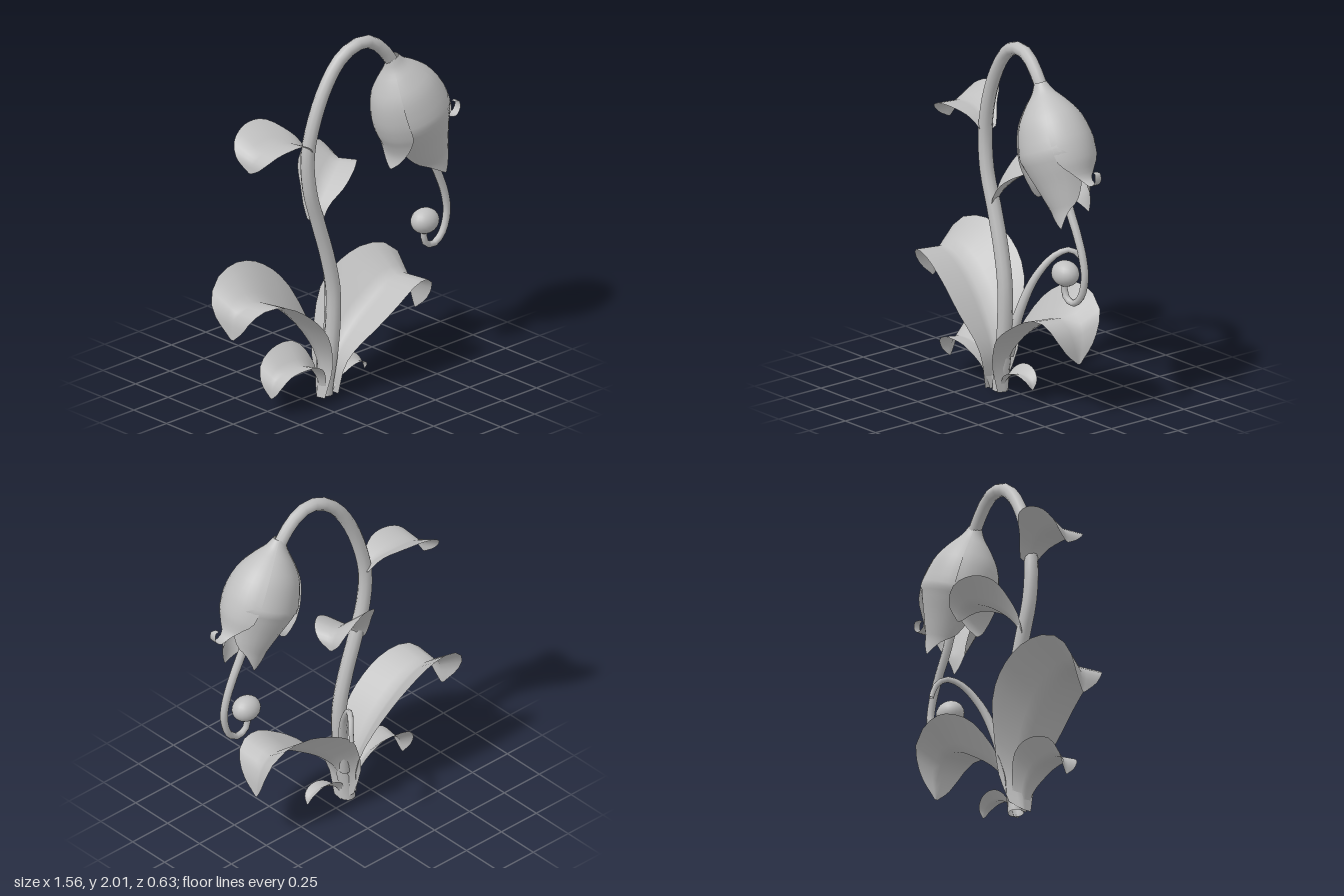
import * as THREE from 'three';

const V = (p) => new THREE.Vector3(...p);
const curveOf = (pts) => new THREE.CatmullRomCurve3(pts.map(V));

// Grid surface from a rule f(u, v) -> Vector3, u and v in 0..1
function surface(nu, nv, f) {
  const pos = [], idx = [];
  for (let j = 0; j <= nv; j++)
    for (let i = 0; i <= nu; i++) pos.push(...f(i / nu, j / nv).toArray());
  for (let j = 0; j < nv; j++)
    for (let i = 0; i < nu; i++) {
      const a = j * (nu + 1) + i, b = a + nu + 1;
      idx.push(a, a + 1, b, a + 1, b + 1, b);
    }
  const g = new THREE.BufferGeometry();
  g.setAttribute('position', new THREE.Float32BufferAttribute(pos, 3));
  g.setIndex(idx);
  g.computeVertexNormals();
  return g;
}

// Round stalk whose radius runs from r0 to r1
function stalk(pts, r0, r1, segs = 28, sides = 10) {
  const curve = curveOf(pts);
  const g = new THREE.TubeGeometry(curve, segs, 1, sides);
  const p = g.attributes.position, v = new THREE.Vector3();
  for (let i = 0; i < p.count; i++) {
    const t = Math.floor(i / (sides + 1)) / segs;
    const c = curve.getPointAt(t);
    v.fromBufferAttribute(p, i).sub(c).multiplyScalar(r0 + (r1 - r0) * t).add(c);
    p.setXYZ(i, v.x, v.y, v.z);
  }
  return g;
}

// Folded leaf: midrib points, half-width, lift of the front and back halves,
// yaw of the blade, narrowing of the back half towards the tip
function leaf(pts, width, front, back, { yaw = 0, narrow = 0 } = {}) {
  const curve = curveOf(pts);
  const side = new THREE.Vector3(Math.sin(yaw), 0, Math.cos(yaw));
  const sign = Math.sign(pts[pts.length - 1][0] - pts[0][0]);
  const profile = curveOf([[0, 0.27, 0], [0.2, 0.55, 0], [0.42, 0.95, 0], [0.6, 1, 0],
    [0.78, 0.87, 0], [0.92, 0.5, 0], [1, 0.05, 0]]);
  return surface(8, 20, (u, v) => {
    const s = profile.getPoint(v), t = Math.min(1, Math.max(0, s.x));
    const k = u * 2 - 1;
    const w = width * s.y * (k < 0 ? 1 - narrow * t * t : 1);
    const up = new THREE.Vector3().crossVectors(side, curve.getTangentAt(t)).multiplyScalar(sign);
    up.y += 1;
    up.normalize();
    const lift = (k > 0 ? front : back) * Math.abs(k) * (1 - 0.5 * t * t);
    return curve.getPointAt(t).addScaledVector(side, k * w).addScaledVector(up, lift * w);
  });
}

// Petal: profile points are [distance down the axis, radius, half-angle]
function petal(angle, tip, swell) {
  const curve = curveOf([[0, 0.036, 0.84], [0.05, 0.062, 0.84],
    [0.11, 0.115, 0.84], [0.2, 0.178, 0.84], [0.32, 0.213, 0.84], ...tip]);
  return surface(10, 28, (u, v) => {
    const p = curve.getPoint(v);
    const a = angle + (u * 2 - 1) * p.z, r = p.y * swell;
    return new THREE.Vector3(r * Math.cos(a), -p.x, 0.9 * r * Math.sin(a));
  });
}

export function createModel() {
  const model = new THREE.Group();
  const grey = new THREE.MeshStandardMaterial({ color: 0xc0c0c0, side: THREE.DoubleSide });
  grey.name = 'plain grey';
  const add = (name, geometry, parent = model) => {
    const m = new THREE.Mesh(geometry, grey);
    m.name = name;
    parent.add(m);
    return m;
  };

  // Arching main stem
  add('stem', stalk([[-0.12, 0, 0.04], [-0.117, 0.05, 0.04], [-0.09, 0.2, 0.045],
    [-0.07, 0.4, 0.05], [-0.07, 0.6, 0.05], [-0.11, 0.8, 0.045], [-0.17, 1, 0.04],
    [-0.23, 1.2, 0.04], [-0.245, 1.4, 0.04], [-0.205, 1.6, 0.05], [-0.13, 1.78, 0.06],
    [-0.04, 1.905, 0.07], [0.06, 1.965, 0.085], [0.16, 1.96, 0.095], [0.25, 1.885, 0.105],
    [0.33, 1.77, 0.11]], 0.043, 0.035, 36));

  // Thin curling shoot behind the stem
  add('shoot', stalk([[-0.08, 0.2, 0.02], [-0.03, 0.45, -0.02], [0.02, 0.64, -0.09],
    [0.075, 0.755, -0.18], [0.12, 0.78, -0.245], [0.155, 0.74, -0.285], [0.165, 0.67, -0.305]],
  0.032, 0.013, 22, 8));

  // Leaves around the foot
  add('largeRightHandLeaf', leaf([[-0.18, 0, 0.04], [-0.17, 0.2, 0.035], [-0.25, 0.37, 0.02],
    [-0.39, 0.535, 0], [-0.55, 0.64, -0.01], [-0.67, 0.65, -0.015], [-0.725, 0.6, -0.02],
    [-0.74, 0.47, -0.02]], 0.215, 0.14, 1.12, { narrow: 0.08 }));
  add('largeLeftHandLeaf', leaf([[-0.07, 0, 0.04], [-0.055, 0.18, 0.04], [0.05, 0.32, 0.04],
    [0.23, 0.455, 0.04], [0.37, 0.53, 0.04], [0.47, 0.525, 0.04], [0.52, 0.44, 0.04],
    [0.535, 0.31, 0.04]], 0.21, 0.12, 1.1, { narrow: 0.3 }));
  add('smallRightHandLeaf', leaf([[-0.16, 0, 0.05], [-0.19, 0.12, 0.05], [-0.27, 0.205, 0.05],
    [-0.38, 0.225, 0.05], [-0.47, 0.21, 0.05], [-0.51, 0.16, 0.05], [-0.52, 0.09, 0.05]],
  0.115, 0.2, 1.1, { narrow: 0.1 }));
  add('smallLeftHandLeaf', leaf([[-0.09, 0, 0.05], [-0.05, 0.08, 0.05], [0.02, 0.125, 0.05],
    [0.09, 0.135, 0.05], [0.145, 0.11, 0.05], [0.16, 0.07, 0.05]], 0.052, 0.2, 1.05));

  // Leaves on the stem
  add('middleStemLeaf', leaf([[-0.18, 0.99, 0.03], [-0.15, 1.08, 0.01], [-0.08, 1.16, -0.02],
    [0.02, 1.23, -0.06], [0.1, 1.25, -0.1], [0.145, 1.22, -0.12], [0.155, 1.165, -0.13]],
  0.14, 0.12, 1.05, { yaw: 0.35 }));
  add('upperStemLeaf', leaf([[-0.23, 1.41, 0.03], [-0.28, 1.465, 0.02], [-0.37, 1.505, -0.01],
    [-0.48, 1.51, -0.02], [-0.56, 1.49, -0.02], [-0.6, 1.45, -0.02], [-0.61, 1.39, -0.02]],
  0.16, 0.1, 0.65));

  // Nodding bell of four petals, hung along a tilted axis
  const bell = new THREE.Group();
  bell.name = 'bell';
  bell.position.set(0.3, 1.84, 0.115);
  bell.rotation.z = 0.39;
  model.add(bell);
  const straightTip = [[0.44, 0.203, 1.35], [0.54, 0.167, 1.48], [0.63, 0.137, 1.3],
    [0.7, 0.117, 0.65], [0.78, 0.115, 0.03]];
  const flaredTip = [[0.4, 0.218, 0.84], [0.46, 0.212, 0.72], [0.52, 0.212, 0.48],
    [0.56, 0.225, 0.26], [0.59, 0.245, 0.03]];
  const curledTip = [[0.42, 0.213, 0.8], [0.5, 0.193, 0.5], [0.565, 0.193, 0.18],
    [0.597, 0.235, 0.12], [0.58, 0.275, 0.09], [0.54, 0.288, 0.07], [0.527, 0.262, 0.05]];
  add('frontPetal', petal(Math.PI / 2, straightTip, 1), bell);
  add('backPetal', petal(-Math.PI / 2, straightTip.map(([t, r, h]) => [t * 0.93, r, h]), 1), bell);
  add('innerPetal', petal(Math.PI, flaredTip, 1.04), bell);
  add('outerPetal', petal(0, curledTip, 1.01), bell);

  // Long curling pistil with a ball at its end
  add('pistil', stalk([[0.48, 1.4, 0.125], [0.555, 1.21, 0.13], [0.62, 1.08, 0.13],
    [0.67, 0.95, 0.13], [0.685, 0.84, 0.13], [0.65, 0.73, 0.13], [0.59, 0.685, 0.13],
    [0.535, 0.7, 0.13], [0.515, 0.76, 0.13], [0.52, 0.82, 0.13]], 0.026, 0.017, 26, 8));
  const ball = add('pistilBall', new THREE.SphereGeometry(1, 20, 14));
  ball.scale.set(0.083, 0.07, 0.07);
  ball.position.set(0.525, 0.835, 0.13);

  return model;
}
